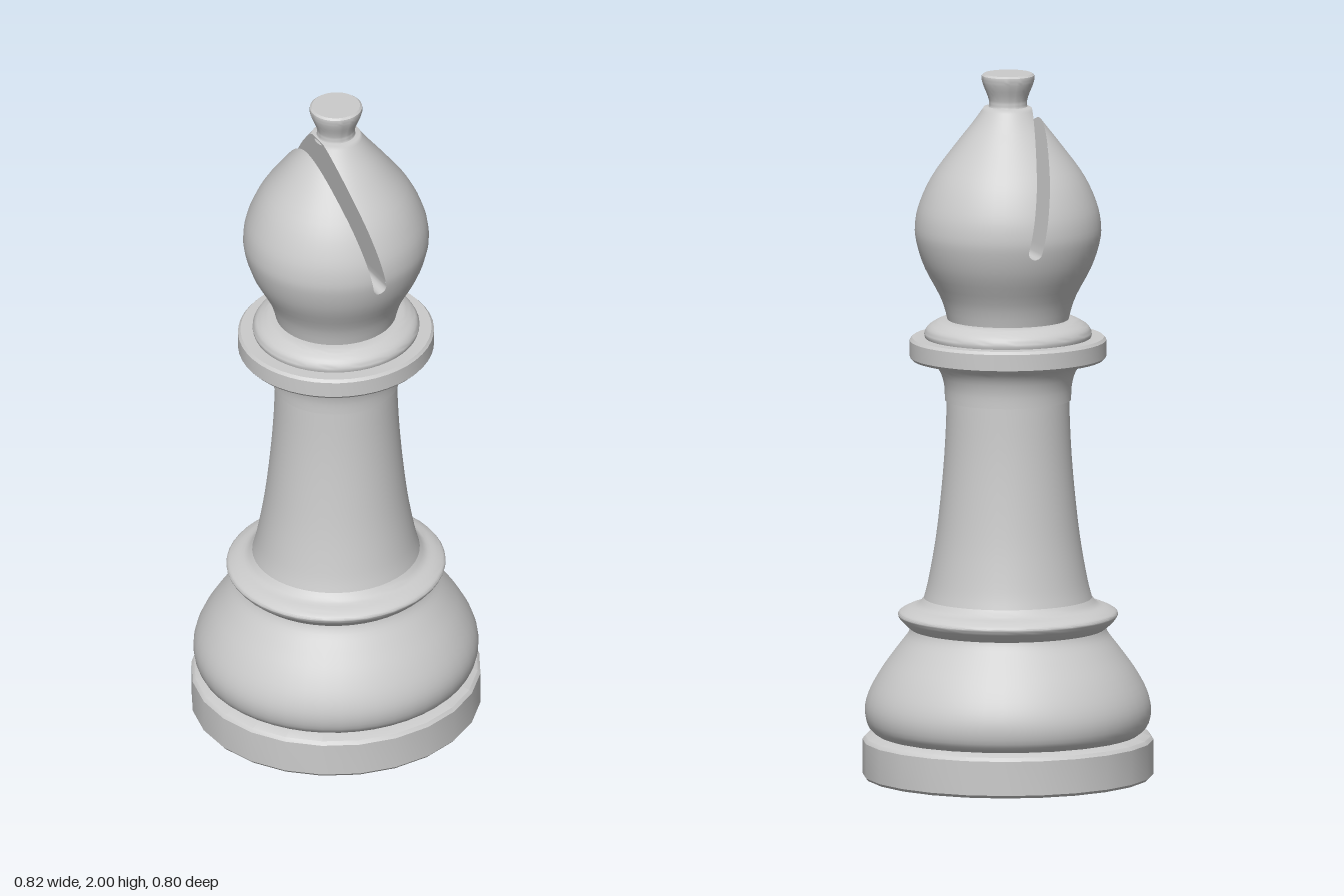
import * as THREE from 'three';
import { toCreasedNormals } from 'three/addons/utils/BufferGeometryUtils.js';

const material = new THREE.MeshStandardMaterial({ color: 0xcccccc });
const DEPTH = 0.97; // the turned body is slightly narrower in z

const toPoints = (list) => list.map(([r, y]) => new THREE.Vector2(r, y));
const smooth = (list, n) => new THREE.SplineCurve(toPoints(list)).getPoints(n);

function turned(points, sides = 48) {
  return new THREE.LatheGeometry(points, sides).scale(1, 1, DEPTH);
}

function addTurned(group, name, points, sides) {
  const mesh = new THREE.Mesh(toCreasedNormals(turned(points, sides), 0.6), material);
  mesh.name = name;
  group.add(mesh);
}

// Head profile, closed at the top under the finial
const headProfile = [
  ...smooth([[0.168, 1.29], [0.188, 1.36], [0.235, 1.45], [0.258, 1.52], [0.262, 1.57], [0.25, 1.63],
    [0.213, 1.71], [0.147, 1.8], [0.1, 1.86], [0.068, 1.905]], 32),
  new THREE.Vector2(0, 1.912),
];

function headRadius(y) {
  for (let i = 1; i < headProfile.length; i++) {
    const a = headProfile[i - 1], b = headProfile[i];
    if (y <= b.y) return a.x + (b.x - a.x) * (y - a.y) / (b.y - a.y);
  }
  return 0;
}

// Keep the part of a polygon where a*x + b*y + c >= 0; corners hold position and normal
function clip(poly, a, b, c) {
  const out = [];
  poly.forEach((p, i) => {
    const q = poly[(i + 1) % poly.length];
    const dp = a * p[0] + b * p[1] + c, dq = a * q[0] + b * q[1] + c;
    if (dp >= 0) out.push(p);
    if ((dp >= 0) !== (dq >= 0)) out.push(p.map((v, k) => v + (q[k] - v) * dp / (dp - dq)));
  });
  return out;
}

function bisect(inside, hi) {
  let lo = 0;
  for (let i = 0; i < 30; i++) {
    const mid = (lo + hi) / 2;
    if (inside(mid)) lo = mid; else hi = mid;
  }
  return lo;
}

// Head with a tilted, round-bottomed slot cut right through it
function addHead(group) {
  const w = 0.02, steps = 8;
  const frame = new THREE.Matrix4()
    .makeRotationFromEuler(new THREE.Euler(0, 0.08, 0.208, 'YXZ'))
    .setPosition(0, 1.526, 0);
  const arc = Array.from({ length: steps + 1 }, (_, i) => {
    const t = Math.PI * i / steps;
    return [-w * Math.cos(t), -w * Math.sin(t)];
  });

  // Outer skin, cut in the slot's own frame
  const skin = turned(headProfile).toNonIndexed().applyMatrix4(frame.clone().invert());
  const P = skin.attributes.position, N = skin.attributes.normal;
  const corner = (i) => [P.getX(i), P.getY(i), P.getZ(i), N.getX(i), N.getY(i), N.getZ(i)];
  const pos = [], nor = [];
  const emit = (poly) => {
    for (let k = 1; k + 1 < poly.length; k++) {
      for (const c of [poly[0], poly[k], poly[k + 1]]) {
        pos.push(...c.slice(0, 3));
        nor.push(...c.slice(3));
      }
    }
  };
  for (let i = 0; i < P.count; i += 3) {
    const tri = [corner(i), corner(i + 1), corner(i + 2)];
    emit(clip(tri, -1, 0, -w));
    emit(clip(tri, 1, 0, -w));
    for (let k = 0; k < steps; k++) {
      const [u0, v0] = arc[k], [u1, v1] = arc[k + 1];
      const slope = (v1 - v0) / (u1 - u0);
      const strip = clip(clip(tri, 1, 0, -u0), -1, 0, u1);
      emit(clip(strip, slope, -1, v0 - slope * u0));
    }
  }
  const head = new THREE.BufferGeometry();
  head.setAttribute('position', new THREE.Float32BufferAttribute(pos, 3));
  head.setAttribute('normal', new THREE.Float32BufferAttribute(nor, 3));
  const headMesh = new THREE.Mesh(head.applyMatrix4(frame), material);
  headMesh.name = 'head';
  group.add(headMesh);

  // Slot walls and floor, reaching out to the skin on both sides
  const inside = (u, v, s) => {
    const p = new THREE.Vector3(u, v, s).applyMatrix4(frame);
    return Math.hypot(p.x, p.z / DEPTH) < headRadius(p.y);
  };
  const wall = (u) => {
    const top = bisect((v) => inside(u, v, 0), 0.5);
    return Array.from({ length: 24 }, (_, i) => [u, top * Math.sin((i + 1) / 24 * Math.PI / 2)]);
  };
  const outline = [...wall(-w).reverse(), ...arc, ...wall(w)];
  const ends = outline.map(([u, v]) => [
    [u, v, bisect((s) => inside(u, v, s), 0.4)],
    [u, v, -bisect((s) => inside(u, v, -s), 0.4)],
  ]);
  const tris = [];
  for (let i = 1; i < ends.length; i++) {
    const [a, b] = ends[i - 1], [c, d] = ends[i];
    tris.push(...a, ...c, ...b, ...c, ...d, ...b);
  }
  const walls = new THREE.BufferGeometry();
  walls.setAttribute('position', new THREE.Float32BufferAttribute(tris, 3));
  const wallMesh = new THREE.Mesh(toCreasedNormals(walls.applyMatrix4(frame), 0.6), material);
  wallMesh.name = 'slotWalls';
  group.add(wallMesh);
}

export function createModel() {
  const group = new THREE.Group();
  group.name = 'chessBishop';

  addTurned(group, 'basePlate', toPoints([[0, 0], [0.403, 0], [0.41, 0.008], [0.41, 0.105],
    [0.402, 0.115], [0.37, 0.125], [0, 0.125]]), 24);

  addTurned(group, 'baseBell', smooth([[0.365, 0.12], [0.393, 0.145], [0.403, 0.19], [0.392, 0.24],
    [0.36, 0.3], [0.317, 0.36], [0.283, 0.405], [0.273, 0.43]], 24));

  addTurned(group, 'baseRing', smooth([[0.272, 0.42], [0.292, 0.437], [0.308, 0.456], [0.307, 0.468],
    [0.285, 0.48], [0.255, 0.49], [0.236, 0.51]], 20));

  addTurned(group, 'column', smooth([[0.238, 0.505], [0.224, 0.56], [0.203, 0.68], [0.187, 0.82],
    [0.177, 0.95], [0.172, 1.08]], 20));

  addTurned(group, 'columnCap', [
    ...toPoints([[0.165, 1.07], [0.178, 1.072]]),
    ...smooth([[0.178, 1.085], [0.18, 1.115], [0.19, 1.15], [0.21, 1.178], [0.235, 1.19]], 12),
  ]);

  addTurned(group, 'collarDisc', toPoints([[0.2, 1.188], [0.27, 1.188], [0.277, 1.196], [0.277, 1.242],
    [0.27, 1.25], [0.2, 1.25]]));

  addTurned(group, 'collarStep', smooth([[0.232, 1.245], [0.236, 1.262], [0.226, 1.28],
    [0.208, 1.292], [0.19, 1.3], [0.16, 1.303]], 14));

  addHead(group);

  addTurned(group, 'finial', [
    ...smooth([[0.062, 1.895], [0.053, 1.912], [0.057, 1.935], [0.069, 1.965], [0.075, 1.985]], 12),
    ...toPoints([[0.074, 1.995], [0.068, 2], [0, 2]]),
  ]);

  return group;
}
